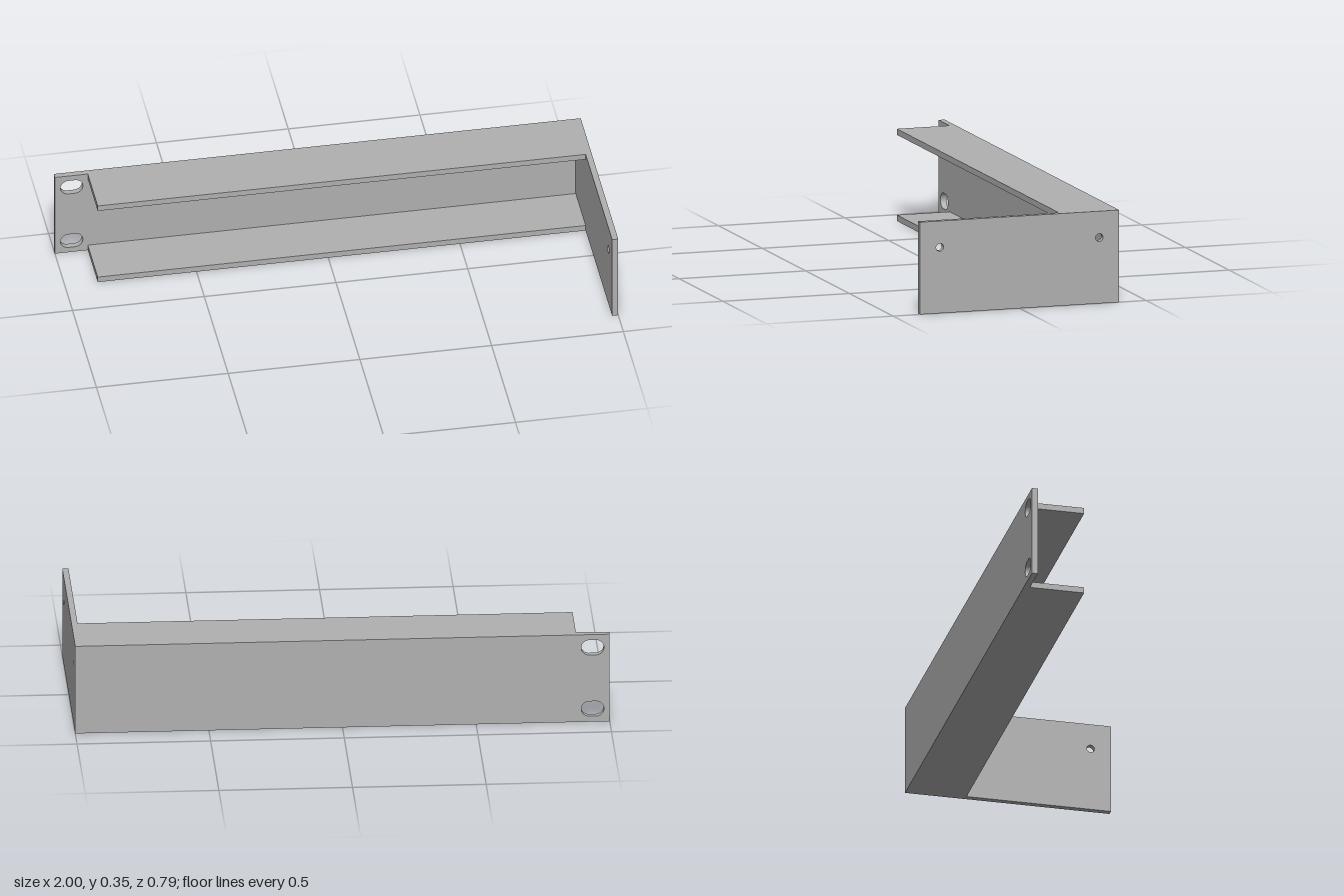
import * as THREE from 'three';

const H = 0.35;      // overall height
const D = 0.393;     // half depth
const T = 0.023;     // sheet thickness

// Rectangular plate outline from (x0, 0) to (x1, H)
function plateShape(x0, x1) {
  const s = new THREE.Shape();
  s.moveTo(x0, 0);
  s.lineTo(x1, 0);
  s.lineTo(x1, H);
  s.lineTo(x0, H);
  s.closePath();
  return s;
}

// Rounded slot; a half length of zero gives a round hole
function slot(cx, cy, r, half) {
  const p = new THREE.Path();
  p.absarc(cx + half, cy, r, -Math.PI / 2, Math.PI / 2, false);
  p.absarc(cx - half, cy, r, Math.PI / 2, Math.PI * 1.5, false);
  p.closePath();
  return p;
}

export function createModel() {
  const group = new THREE.Group();
  const metal = new THREE.MeshStandardMaterial({ color: 0xb0b0b0 });
  metal.name = 'grey metal';

  const add = (name, geometry, x, y, z) => {
    const mesh = new THREE.Mesh(geometry, metal);
    mesh.name = name;
    mesh.position.set(x, y, z);
    group.add(mesh);
    return mesh;
  };
  const extrude = (shape) =>
    new THREE.ExtrudeGeometry(shape, { depth: T, bevelEnabled: false, curveSegments: 16 });

  // Long panel with two mounting slots at its right end
  const panel = plateShape(-1, 1 - T);
  for (const y of [0.052, H - 0.052]) panel.holes.push(slot(-0.936, y, 0.03, 0.0125));
  add('mountingPanel', extrude(panel), 0, 0, -D);

  // Side plate with two round holes
  const side = plateShape(-D, D);
  for (const z of [-0.315, 0.315]) side.holes.push(slot(z, 0.25, 0.0148, 0));
  add('sidePlate', extrude(side), 1, 0, 0).rotation.y = -Math.PI / 2;

  // Top and bottom flanges along the panel
  const x0 = -0.875, x1 = 1 - T, z0 = -D + T, z1 = -0.162;
  for (const [name, y] of [['bottomFlange', T / 2], ['topFlange', H - T / 2]]) {
    add(name, new THREE.BoxGeometry(x1 - x0, T, z1 - z0), (x0 + x1) / 2, y, (z0 + z1) / 2);
  }

  return group;
}
